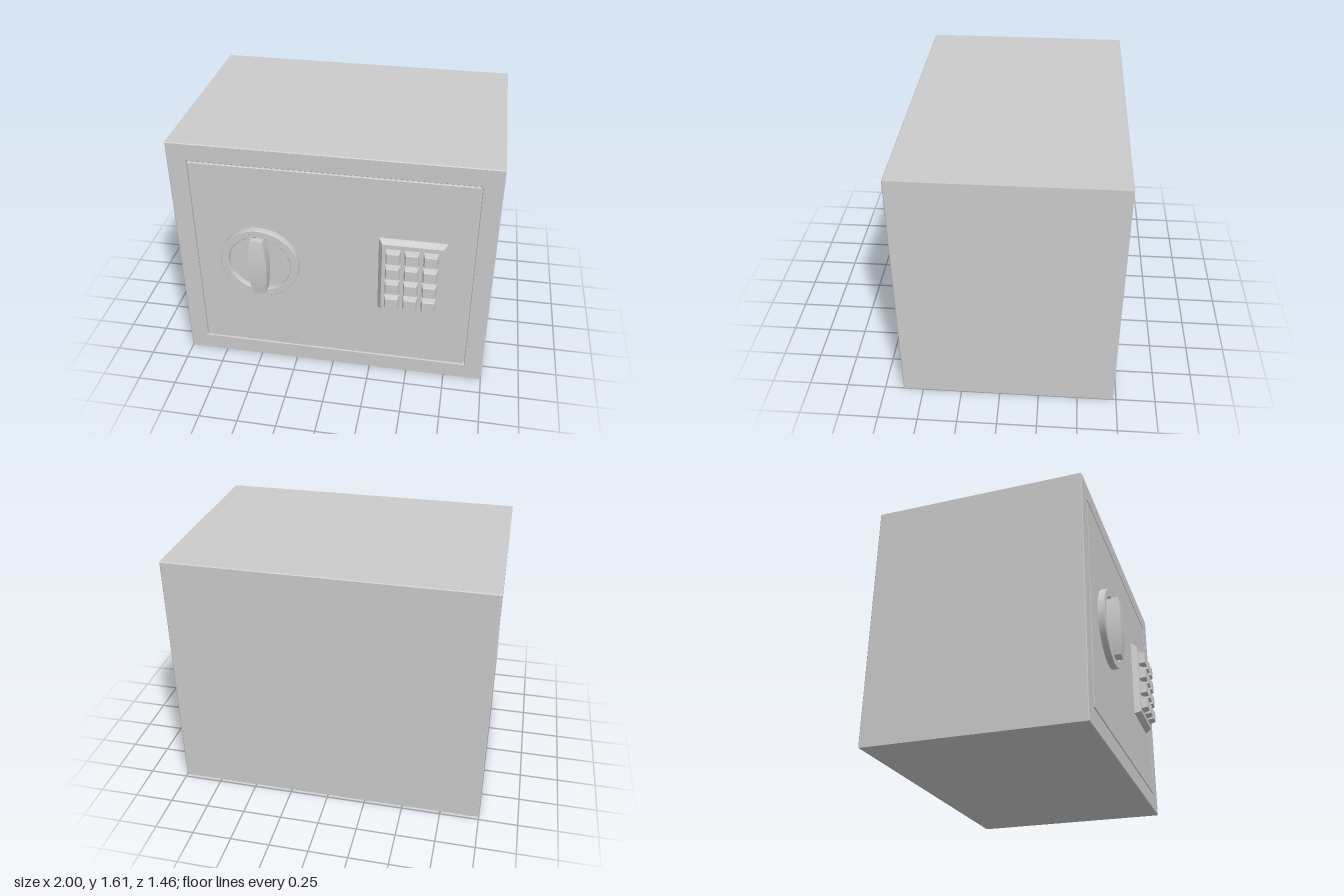
import * as THREE from 'three';
import { toCreasedNormals } from 'three/addons/utils/BufferGeometryUtils.js';

const material = new THREE.MeshStandardMaterial({ color: 0xcccccc });

function addMesh(parent, name, geometry) {
  const mesh = new THREE.Mesh(geometry, material);
  mesh.name = name;
  parent.add(mesh);
  return mesh;
}

// Capped solid through rectangles [halfWidth, halfHeight, z], ordered back to front
function rectLoft(rings) {
  const corners = rings.map(([w, h, z]) => [[-w, -h, z], [w, -h, z], [w, h, z], [-w, h, z]]);
  const positions = [];
  const quad = (a, b, c, d) => positions.push(...a, ...b, ...c, ...a, ...c, ...d);
  const first = corners[0], last = corners[corners.length - 1];
  quad(first[3], first[2], first[1], first[0]);
  for (let i = 0; i < corners.length - 1; i++) {
    for (let j = 0; j < 4; j++) {
      const k = (j + 1) % 4;
      quad(corners[i][j], corners[i][k], corners[i + 1][k], corners[i + 1][j]);
    }
  }
  quad(...last);
  const geometry = new THREE.BufferGeometry();
  geometry.setAttribute('position', new THREE.Float32BufferAttribute(positions, 3));
  geometry.computeVertexNormals();
  return geometry;
}

export function createModel() {
  const model = new THREE.Group();
  model.name = 'safe';
  const midY = 0.807, front = 0.63, back = -0.73, bevel = 0.005;

  // Cabinet with a shallow opening for the door
  addMesh(model, 'cabinet', rectLoft([
    [1 - bevel, midY - bevel, back],
    [1, midY, back + bevel],
    [1, midY, front - bevel],
    [1 - bevel, midY - bevel, front],
    [0.885, 0.692, front],
    [0.882, 0.689, front - 0.003],
    [0.882, 0.689, front - 0.03],
  ])).position.y = midY;

  // Flush door, leaving a thin gap all round
  addMesh(model, 'door', rectLoft([
    [0.875, 0.682, front - 0.03],
    [0.875, 0.682, front - 0.003],
    [0.872, 0.679, front],
  ])).position.y = midY;

  // Dial: raised rim around a recessed floor
  const dial = new THREE.Group();
  dial.name = 'dial';
  dial.position.set(-0.458, 0.81, front);
  model.add(dial);
  const rimProfile = [
    [0.252, 0], [0.252, 0.038], [0.249, 0.041], [0.204, 0.041],
    [0.2, 0.037], [0.2, 0.01], [0, 0.01],
  ].map(([r, y]) => new THREE.Vector2(r, y));
  const rim = new THREE.LatheGeometry(rimProfile, 64).rotateX(Math.PI / 2);
  addMesh(dial, 'dialRim', toCreasedNormals(rim, 0.6));

  // Grip: bar that is widest and tallest in the middle
  const grip = new THREE.BoxGeometry(0.08, 0.4, 0.09, 1, 16, 1).translate(0, 0, 0.055);
  const p = grip.attributes.position;
  for (let i = 0; i < p.count; i++) {
    const t = p.getY(i) / 0.2, bulge = 1 - t * t;
    p.setX(i, Math.sign(p.getX(i)) * (0.04 + 0.021 * bulge));
    if (p.getZ(i) > 0.05) p.setZ(i, 0.083 + 0.017 * bulge);
  }
  grip.computeVertexNormals();
  addMesh(dial, 'dialGrip', toCreasedNormals(grip, 0.6));

  // Keypad: sloped base plate with a grid of tapered keys
  const keypad = new THREE.Group();
  keypad.name = 'keypad';
  keypad.position.set(0.505, 0.81, front);
  model.add(keypad);
  addMesh(keypad, 'keypadPlate', rectLoft([
    [0.21, 0.27, 0],
    [0.208, 0.268, 0.008],
    [0.185, 0.248, 0.042],
  ]));
  const keyGeometry = rectLoft([
    [0.047, 0.047, 0.04],
    [0.038, 0.038, 0.082],
    [0.036, 0.036, 0.085],
  ]);
  for (let row = 0; row < 4; row++) {
    for (let col = 0; col < 3; col++) {
      addMesh(keypad, 'key', keyGeometry).position.set((col - 1) * 0.115, (row - 1.5) * 0.115, 0);
    }
  }
  return model;
}
